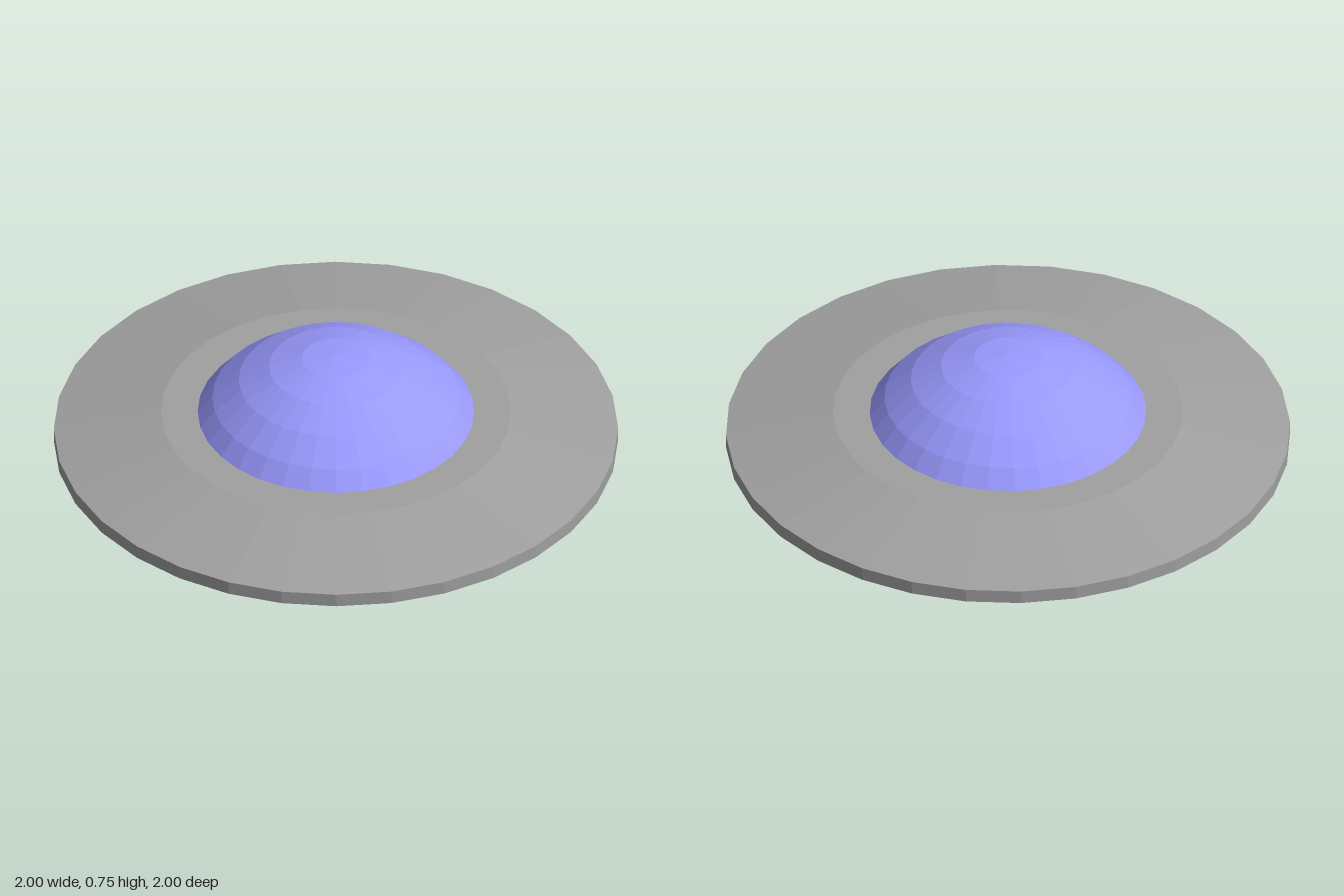
import * as THREE from 'three';

const SIDES = 32;

function part(name, geometry, color) {
  const material = new THREE.MeshStandardMaterial({ color, flatShading: true });
  const mesh = new THREE.Mesh(geometry, material);
  mesh.name = name;
  return mesh;
}

export function createModel() {
  const model = new THREE.Group();
  model.name = 'saucer';

  // Disc: flat underside, thin rim, sloping top and level centre
  const profile = [[0, 0.38], [1, 0.38], [1, 0.43], [0.62, 0.505], [0, 0.505]]
    .map(([r, y]) => new THREE.Vector2(r, y));
  model.add(part('hullDisc', new THREE.LatheGeometry(profile, SIDES), 0xa0a0a0));

  // Dome: cap of a sphere, its edge sunk into the disc
  const dome = part('dome',
    new THREE.SphereGeometry(0.62, SIDES, 5, 0, Math.PI * 2, 0, Math.PI * 5 / 16), 0x9999ff);
  dome.position.y = 0.13;
  model.add(dome);

  // Three stretched half spheres hanging below, one at the back and two in front
  const podGeometry = new THREE.SphereGeometry(0.31, SIDES, 8, 0, Math.PI * 2, Math.PI / 2, Math.PI / 2);
  podGeometry.scale(1, 0.38 / 0.31, 1);
  for (let i = 0; i < 3; i++) {
    const angle = Math.PI + i * Math.PI * 2 / 3;
    const pod = part('landingPod' + (i + 1), podGeometry, 0xe0e0b8);
    pod.position.set(0.375 * Math.sin(angle), 0.38, 0.375 * Math.cos(angle));
    model.add(pod);
  }

  return model;
}
